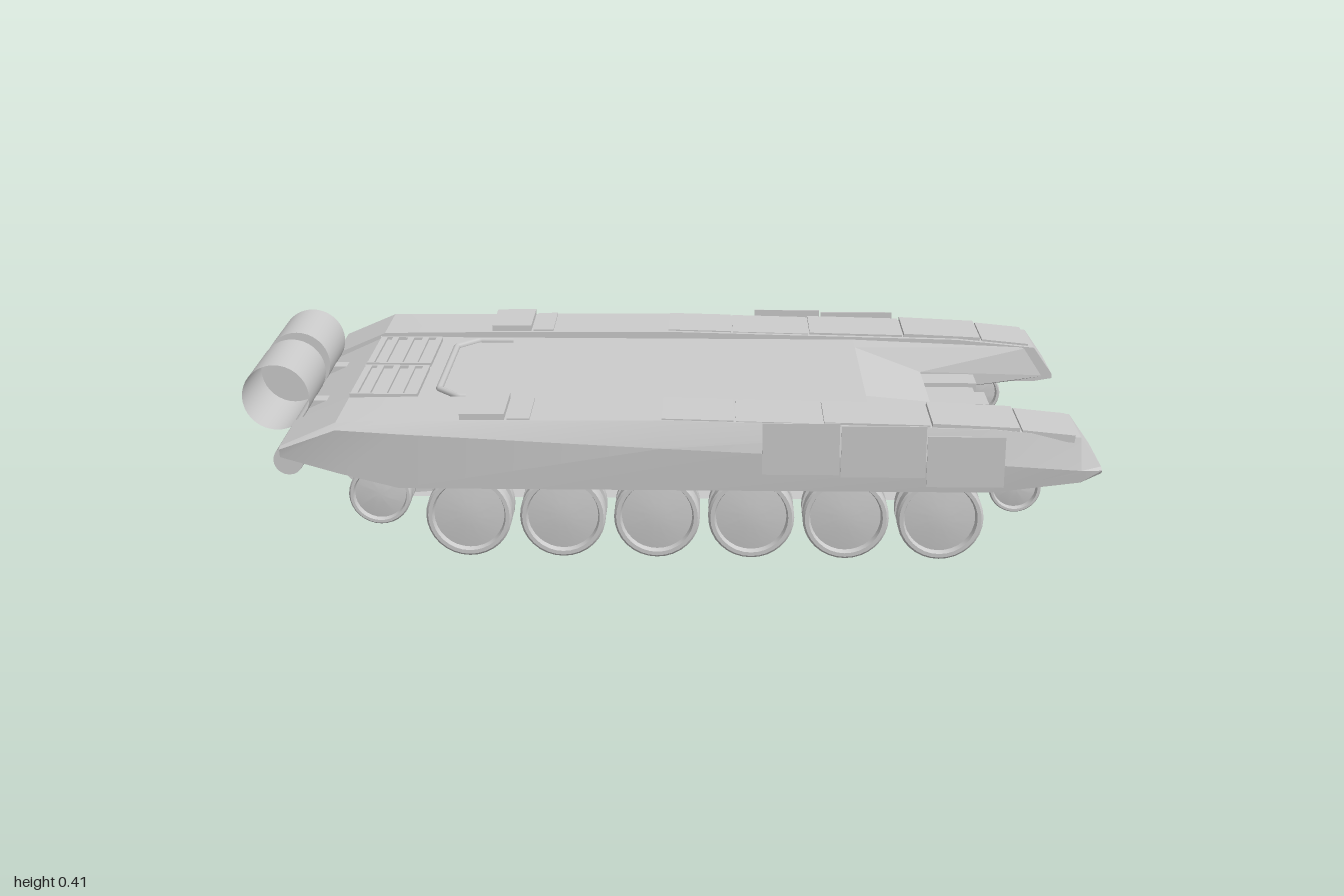
import * as THREE from 'three';
import { toCreasedNormals } from 'three/addons/utils/BufferGeometryUtils.js';
import { ConvexGeometry } from 'three/addons/geometries/ConvexGeometry.js';

const grey = new THREE.MeshStandardMaterial({ color: 0xcccccc });
const greyOpen = new THREE.MeshStandardMaterial({ color: 0xcccccc, side: THREE.DoubleSide });

function add(parent, name, geometry, x = 0, y = 0, z = 0, material = grey) {
  const mesh = new THREE.Mesh(geometry, material);
  mesh.name = name;
  mesh.position.set(x, y, z);
  parent.add(mesh);
  return mesh;
}

// box given by its min and max on each axis
function block(parent, name, [x0, x1], [y0, y1], [z0, z1]) {
  return add(parent, name, new THREE.BoxGeometry(x1 - x0, y1 - y0, z1 - z0),
    (x0 + x1) / 2, (y0 + y1) / 2, (z0 + z1) / 2);
}

// fender stations: x, top, shoulder, skirt bottom, underside, z of top edge, z of shoulder
const stations = [
  [-0.87, 0.288, 0.282, 0.262, 0.268, 0.465, 0.472],
  [-0.74, 0.345, 0.33, 0.225, 0.245, 0.462, 0.474],
  [-0.6, 0.348, 0.322, 0.19, 0.225, 0.457, 0.475],
  [0, 0.353, 0.292, 0.19, 0.225, 0.455, 0.475],
  [0.75, 0.336, 0.258, 0.19, 0.225, 0.455, 0.475],
  [0.95, 0.316, 0.245, 0.215, 0.225, 0.447, 0.472],
  [1.0, 0.245, 0.24, 0.232, 0.234, 0.44, 0.455],
];

function fenderTop(x) {
  let i = 0;
  while (i < stations.length - 2 && x > stations[i + 1][0]) i++;
  const [a, b] = [stations[i], stations[i + 1]];
  return THREE.MathUtils.lerp(a[1], b[1], (x - a[0]) / (b[0] - a[0]));
}

// loft of the fender cross-section, with a thin skirt hanging at the outside
function fenderGeometry(side) {
  const pos = [], index = [], n = 7, inner = 0.276;
  for (const [x, top, mid, skirt, under, zTop, zOut] of stations) {
    const ring = [[top, inner], [top, zTop], [mid, zOut], [skirt, zOut - 0.006],
      [skirt, zOut - 0.02], [under, zOut - 0.02], [under, inner]];
    for (const [y, z] of ring) pos.push(x, y, z * side);
  }
  const tri = (a, b, c) => (side > 0 ? index.push(a, b, c) : index.push(a, c, b));
  const last = (stations.length - 1) * n;
  for (let s = 0; s < last; s += n) {
    for (let i = 0; i < n; i++) {
      const j = (i + 1) % n;
      tri(s + i, s + j, s + n + i);
      tri(s + j, s + n + j, s + n + i);
    }
  }
  for (let i = 1; i < n - 1; i++) {
    tri(0, i + 1, i);
    tri(last, last + i, last + i + 1);
  }
  const g = new THREE.BufferGeometry();
  g.setAttribute('position', new THREE.Float32BufferAttribute(pos, 3));
  g.setIndex(index);
  return toCreasedNormals(g, 0.3);
}

// twin-rim wheel with dished faces, axle along z
function wheelGeometry(r, width) {
  const h = width / 2, profile = [
    [0, -h + 0.008], [r * 0.3, -h + 0.008], [r * 0.82, -h + 0.014], [r * 0.86, -h], [r * 0.95, -h],
    [r, -h + 0.005], [r, -h * 0.3], [r * 0.78, -h * 0.25]];
  const mirrored = profile.map(([a, b]) => [a, -b]).reverse();
  const points = [...profile, ...mirrored].map(([a, b]) => new THREE.Vector2(a, b));
  return toCreasedNormals(new THREE.LatheGeometry(points, 32).rotateX(Math.PI / 2), 0.5);
}

// drum closed at its inner end and open at its outer end
function drumGeometry(side) {
  const points = [[0, -0.11], [0.08, -0.11], [0.08, 0.11]].map(([r, h]) => new THREE.Vector2(r, h));
  return toCreasedNormals(new THREE.LatheGeometry(points, 36).rotateX(side * Math.PI / 2), 0.5);
}

function hullGeometry() {
  const profile = [[-0.7, 0.1], [0.64, 0.1], [0.785, 0.212], [0.65, 0.218], [0.65, 0.27],
    [0.48, 0.335], [-0.74, 0.335], [-0.87, 0.275], [-0.86, 0.255]];
  const shape = new THREE.Shape(profile.map(([x, y]) => new THREE.Vector2(x, y)));
  const g = new THREE.ExtrudeGeometry(shape, { depth: 0.56, bevelEnabled: false }).translate(0, 0, -0.28);
  // pinch the nose
  const p = g.attributes.position;
  for (let i = 0; i < p.count; i++) if (p.getX(i) > 0.642) p.setZ(i, Math.sign(p.getZ(i)) * 0.208);
  return toCreasedNormals(g, 0.2);
}

export function createModel() {
  const model = new THREE.Group();
  model.name = 'trackedHull';
  add(model, 'hullBody', hullGeometry());

  const roadWheel = wheelGeometry(0.1, 0.1);
  const sprocket = wheelGeometry(0.072, 0.11);
  const idler = wheelGeometry(0.06, 0.07);

  for (const side of [1, -1]) {
    const half = new THREE.Group();
    half.name = side > 0 ? 'leftSide' : 'rightSide';
    model.add(half);
    add(half, 'fender', fenderGeometry(side));

    // sloped filler between the nose and the fender horn
    const corners = [[0.48, 0.335, 0.205], [0.48, 0.335, 0.28], [0.65, 0.27, 0.205], [0.65, 0.215, 0.205],
      [0.48, 0.215, 0.205], [0.48, 0.215, 0.28], [0.94, 0.316, 0.28], [0.99, 0.24, 0.28], [0.9, 0.225, 0.28]];
    add(half, 'hornFiller', new ConvexGeometry(corners.map(([x, y, z]) => new THREE.Vector3(x, y, z * side))));

    // running gear
    for (let i = 0; i < 6; i++) add(half, 'roadWheel', roadWheel, -0.45 + i * 0.219, 0.1, 0.358 * side);
    add(half, 'driveSprocket', sprocket, -0.65, 0.162, 0.385 * side);
    add(half, 'frontIdler', idler, 0.815, 0.175, 0.362 * side);

    // stowage plates on top of the fender: x start, x end, rise
    const plates = [[-0.46, -0.358, 0.014], [-0.352, -0.3, 0.004], [0, 0.163, 0.003], [0.168, 0.363, 0.002],
      [0.368, 0.608, 0.005], [0.613, 0.81, 0.009], [0.815, 0.935, 0.005]];
    for (const [x0, x1, rise] of plates) {
      const y0 = fenderTop(x0), y1 = fenderTop(x1);
      const g = new THREE.BoxGeometry(Math.hypot(x1 - x0, y1 - y0), 0.02, 0.163);
      const plate = add(half, 'fenderPlate', g, (x0 + x1) / 2, (y0 + y1) / 2 + rise - 0.01, 0.37 * side);
      plate.rotation.z = Math.atan2(y1 - y0, x1 - x0);
    }

    // side armour panels
    for (const [x0, x1, y0, y1] of [[0.228, 0.402, 0.235, 0.357], [0.406, 0.597, 0.23, 0.352], [0.6, 0.775, 0.208, 0.328]]) {
      block(half, 'sidePanel', [x0, x1], [y0, y1], [0.483 * side - 0.002, 0.483 * side + 0.002]);
    }

    // engine deck grille: base, slats and frame
    const zs = side > 0 ? [0.012, 0.242] : [-0.242, -0.012];
    block(half, 'grilleBase', [-0.745, -0.585], [0.32, 0.338], zs);
    for (const x of [-0.735, -0.705, -0.665, -0.627, -0.592]) {
      block(half, 'grilleSlat', [x - 0.008, x + 0.008], [0.33, 0.345], zs);
    }
    for (const z of zs) block(half, 'grilleFrame', [-0.745, -0.585], [0.33, 0.345], [z - 0.004, z + 0.004]);

    // fuel drum and its bracket
    add(half, 'fuelDrum', drumGeometry(side), -0.92, 0.335, 0.14 * side, greyOpen);
    block(half, 'drumBracket', [-0.86, -0.8], [0.27, 0.3], [0.14 * side - 0.02, 0.14 * side + 0.02]);
  }

  // log across the rear
  add(model, 'rearLog', new THREE.CylinderGeometry(0.035, 0.035, 0.85, 20).rotateX(Math.PI / 2), -0.86, 0.24, 0);

  // raised rail on the rear deck
  const path = new THREE.CurvePath();
  const rail = [[-0.4, 0.238], [-0.49, 0.238], [-0.54, 0.18], [-0.54, -0.18], [-0.49, -0.238], [-0.4, -0.238]]
    .map(([x, z]) => new THREE.Vector3(x, 0.337, z));
  for (let i = 1; i < rail.length; i++) path.add(new THREE.LineCurve3(rail[i - 1], rail[i]));
  add(model, 'deckRail', new THREE.TubeGeometry(path, 60, 0.009, 8));

  // armour blocks across the nose
  for (const [z, w, x1, y1] of [[0, 0.1, 0.795, 0.266], [0.088, 0.072, 0.775, 0.255], [-0.088, 0.072, 0.775, 0.255],
    [0.165, 0.078, 0.785, 0.265], [-0.165, 0.078, 0.785, 0.265]]) {
    block(model, 'noseBlock', [0.645, x1], [0.213, y1], [z - w / 2, z + w / 2]);
  }
  return model;
}
